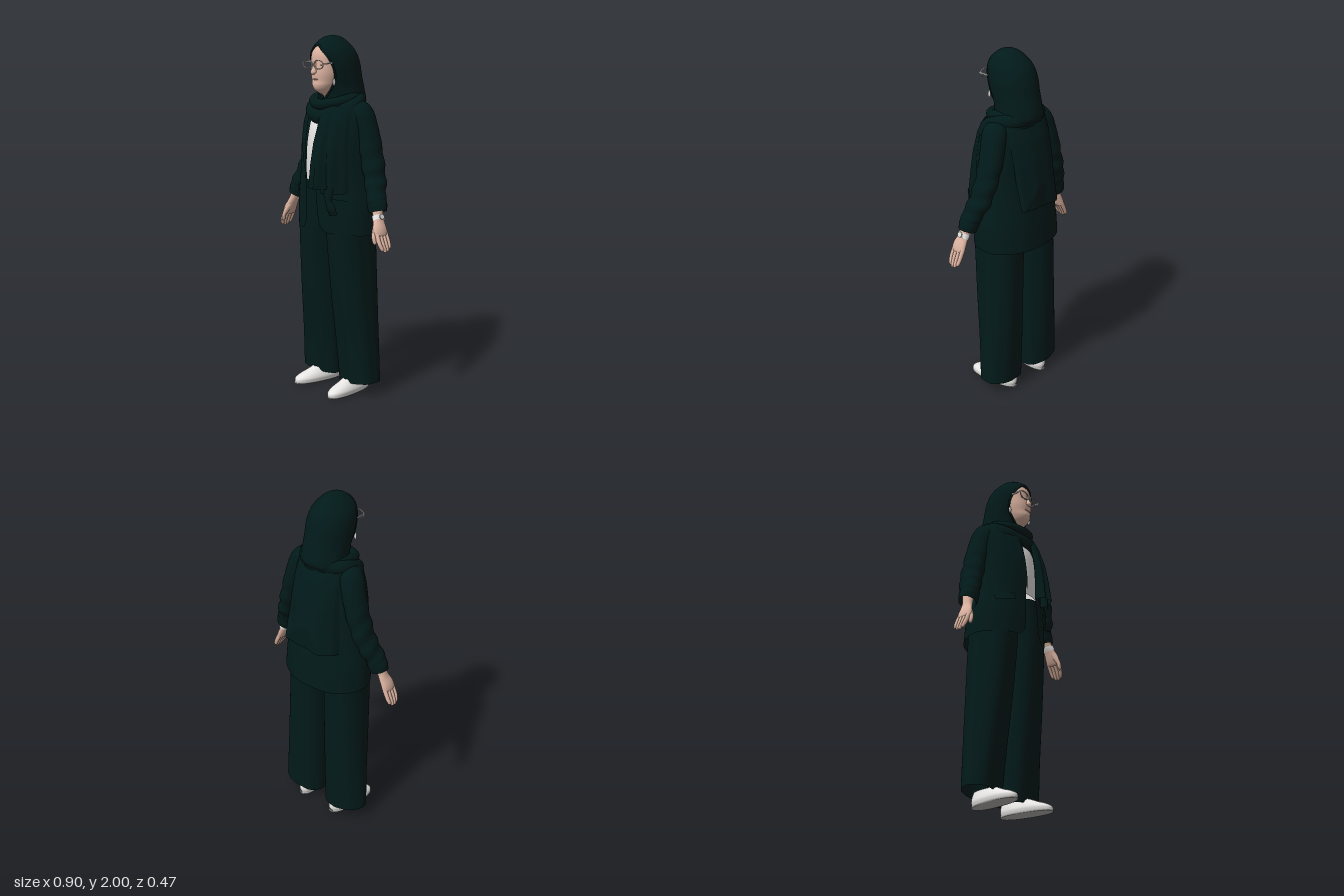
import * as THREE from 'three';

const mat = (name, color, double) => {
  const m = new THREE.MeshStandardMaterial({ color });
  m.name = name;
  if (double) m.side = THREE.DoubleSide;
  return m;
};

// Smooth surface from a rule (u, v) -> [x, y, z]; either direction can close on itself
function patch(nu, nv, f, wrapU = false, wrapV = false) {
  const cu = wrapU ? nu : nu + 1, cv = wrapV ? nv : nv + 1, pos = [], idx = [];
  for (let j = 0; j < cv; j++) for (let i = 0; i < cu; i++) pos.push(...f(i / nu, j / nv));
  for (let j = 0; j < nv; j++) for (let i = 0; i < nu; i++) {
    const i2 = (i + 1) % cu, j2 = (j + 1) % cv;
    const a = j * cu + i, b = j * cu + i2, c = j2 * cu + i2, d = j2 * cu + i;
    idx.push(a, b, c, a, c, d);
  }
  const g = new THREE.BufferGeometry();
  g.setAttribute('position', new THREE.Float32BufferAttribute(pos, 3));
  g.setIndex(idx);
  g.computeVertexNormals();
  return g;
}

// Catmull-Rom sample of a table of rows
function sample(rows, v) {
  const n = rows.length - 1, s = Math.min(v * n, n - 1e-9), i = Math.floor(s), t = s - i;
  const at = k => rows[Math.max(0, Math.min(n, k))];
  return rows[0].map((_, c) => {
    const [a, b, d, e] = [at(i - 1)[c], at(i)[c], at(i + 1)[c], at(i + 2)[c]];
    return b + 0.5 * t * (d - a + t * (2 * a - 5 * b + 4 * d - e + t * (3 * (b - d) + e - a)));
  });
}

// Upright body from rows [y, halfWidth, zFront, zBack, xCentre]; n and nBack set the squareness of
// the front and back halves; open(y) gives the front gap [right, left]
function body(rows, { n = 2, nBack = n, nu = 56, nv = 48, open, ripple = () => 0, hem = () => 0 } = {}) {
  return patch(nu, nv, (u, v) => {
    let [y, rx, zf, zb, cx = 0] = sample(rows, v);
    rx = Math.max(rx, 0.0005);
    const gap = open ? open(y) : [0, 0];
    const ang = x => Math.asin(Math.min(0.98, Math.pow(Math.max(0, x) / rx, n / 2)));
    const a0 = ang(gap[1]), a = a0 + u * (2 * Math.PI - ang(gap[0]) - a0);
    const s = Math.sin(a), c = Math.cos(a), k = 1 + ripple(a, v), e = 2 / (c > 0 ? n : nBack);
    const px = Math.sign(s) * Math.abs(s) ** e, pz = Math.sign(c) * Math.abs(c) ** e;
    return [cx + rx * px * k, y + hem(a, v), (zf + zb) / 2 + (zf - zb) / 2 * pz * k];
  }, !open);
}

// Depth of a body's front (side 1) or back (side -1) at x, y
function depth(rows, n, x, y, side) {
  let i = 0;
  while (i < rows.length - 2 && rows[i + 1][0] < y) i++;
  const t = (y - rows[i][0]) / (rows[i + 1][0] - rows[i][0]);
  const [, rx, zf, zb] = rows[i].map((q, c) => q + t * (rows[i + 1][c] - q));
  const k = Math.max(0, 1 - Math.abs(x / rx) ** n) ** (1 / n);
  return (zf + zb) / 2 + side * (zf - zb) / 2 * k;
}

// Limb along points listed from low to high, radii [sideways, front-back]
function limb(points, radii, nu = 16, nv = 20, wrinkle = () => 0) {
  const curve = new THREE.CatmullRomCurve3(points.map(p => new THREE.Vector3(...p)));
  const Z = new THREE.Vector3(0, 0, 1);
  return patch(nu, nv, (u, v) => {
    const a = u * 2 * Math.PI, T = curve.getTangent(v), k = 1 + wrinkle(a, v);
    const A = T.clone().cross(Z).normalize(), B = A.clone().cross(T);
    const [ra, rb] = sample(radii, v);
    return curve.getPoint(v).addScaledVector(A, Math.sin(a) * ra * k)
      .addScaledVector(B, Math.cos(a) * rb * k).toArray();
  }, true);
}

const mix = (a, b, t) => a + (b - a) * t;

export function createModel() {
  const model = new THREE.Group();
  const cloth = mat('dark green cloth', 0x021a1a, true);
  const skin = mat('skin', 0xdcb3a1);
  const white = mat('white', 0xe8e6e4, true);
  const lip = mat('lips', 0xcb9a8c);
  const metal = mat('pale silver', 0xdedcda);
  const dark = mat('eye brown', 0x86685e);
  const sole = mat('sole grey', 0xb9b8b6);
  const add = (name, geo, m, parent = model) => {
    const mesh = new THREE.Mesh(geo, m);
    mesh.name = name;
    parent.add(mesh);
    return mesh;
  };
  const ball = (name, m, p, s) => {
    const b = add(name, new THREE.SphereGeometry(1, 20, 14), m);
    b.position.set(...p);
    b.scale.set(...s);
  };

  // Head and neck
  const head = [[1.56, .055, .04, -.06], [1.66, .055, .055, -.06], [1.69, .045, .1, -.06], [1.71, .056, .13, -.06],
    [1.735, .068, .141, -.06], [1.76, .077, .139, -.06], [1.80, .086, .141, -.06], [1.85, .09, .137, -.06],
    [1.9, .089, .134, -.06], [1.94, .07, .109, -.04], [1.965, 0, .03, .02]];
  const faceZ = (x, y) => depth(head, 2.1, x, y, 1);
  add('head', body(head, { n: 2.1 }), skin);
  add('nose', limb([[0, 1.797, .138], [0, 1.804, .145], [0, 1.825, .141], [0, 1.875, .128]],
    [[0, 0], [.018, .017], [.012, .013], [.007, .007]]), skin);
  ball('mouth', lip, [0, 1.768, faceZ(0, 1.768) - .002], [.026, .004, .004]);

  // Headscarf hood, open around the face
  const hood = [[1.57, .175, .1, -.14], [1.62, .155, .09, -.155], [1.66, .132, .075, -.182], [1.72, .124, .085, -.174],
    [1.78, .124, .11, -.16], [1.85, .124, .13, -.146], [1.91, .111, .137, -.122], [1.955, .081, .113, -.083],
    [1.988, .042, .068, -.04], [2, 0, .013, .011]];
  const gapRows = [[1.66, 0], [1.70, .045], [1.76, .083], [1.82, .091], [1.88, .076], [1.925, .04], [1.95, 0]];
  const faceGap = y => {
    const i = gapRows.findIndex(r => r[0] > y);
    if (i < 1) return 0;
    const [p, q] = [gapRows[i - 1], gapRows[i]];
    return mix(p[1], q[1], (y - p[0]) / (q[0] - p[0]));
  };
  add('headscarfHood', body(hood, { nu: 64, nv: 72, open: y => [faceGap(y), faceGap(y)],
    ripple: (a, v) => v < .45 ? .05 * (.45 - v) * Math.sin(9 * a) : 0 }), cloth);
  const rim = [1, -1].flatMap(s => (s > 0 ? gapRows : gapRows.slice(1, -1).reverse())
    .map(([y, x]) => new THREE.Vector3(s * x, y, depth(hood, 2, x, y, 1))));
  add('hoodRim', new THREE.TubeGeometry(new THREE.CatmullRomCurve3(rim, true), 72, .006, 8, true), cloth);

  // Scarf folds wound round the neck
  [[.15, .118, 1.65, .085, .034, .042], [.118, .118, 1.672, .04, .03, .03], [.165, .115, 1.62, .06, .028, .03]]
    .forEach(([rx, rz, y0, drop, r, h]) => add('neckFold', patch(56, 14, (u, v) => {
      const t = u * 2 * Math.PI, b = v * 2 * Math.PI;
      const k = r * (1 + .1 * Math.sin(5 * t)) * Math.cos(b), s = Math.sin(t), c = Math.cos(t);
      return [(rx + k) * s, y0 - drop * ((1 + c) / 2) ** 2 + h * Math.sin(b), -.012 + (rz + k) * c];
    }, true, true), cloth));

  // Jacket body, open down the front
  const coat = [[.94, .27, .162, -.218], [1.07, .263, .165, -.207], [1.2, .24, .163, -.19], [1.32, .228, .163, -.18],
    [1.43, .224, .155, -.172], [1.55, .216, .128, -.152], [1.62, .196, .1, -.13], [1.66, .15, .07, -.105], [1.69, .08, .03, -.07]];
  const coatZ = (x, y, side = 1) => depth(coat, side > 0 ? 1.9 : 2.15, x, y, side);
  const coatGap = y => {
    const w = Math.max(0, 1.2 - y), round = .04 * Math.max(0, (1 - y) / .06) ** 2;
    return [.048 + w * .03 + round, .03 + w * .12 + round];
  };
  add('jacketBody', body(coat, { n: 1.9, nBack: 2.15, nu: 72, open: coatGap,
    hem: (a, v) => -.012 * (1 - Math.cos(a)) * Math.max(0, 1 - v * 3),
    ripple: (a, v) => .008 * Math.sin(7 * a + 5 * v) * (1 - v) }), cloth);
  // Lapels and pocket flaps
  for (const s of [1, -1]) {
    const inner = s > 0 ? .03 : .047;
    add('lapel', patch(6, 16, (u, v) => {
      const y = mix(1.23, 1.6, v), wide = v < .75 ? .1 * v / .75 : .1 - .2 * (v - .75);
      const x = s * (inner + .03 * v * v + wide * u);
      return [x, y, coatZ(x, y) + .009 - .004 * u];
    }), cloth);
    add('pocketFlap', patch(6, 4, (u, v) => {
      const x = s * mix(.13, .222, u), y = mix(1.135, 1.18, v) - .012 * u;
      return [x, y, coatZ(x, y) + .014 - .006 * v];
    }), cloth);
  }
  // Shirt
  add('shirt', body([[1.212, .17, .143, -.12], [1.35, .17, .145, -.13], [1.5, .16, .126, -.12], [1.62, .1, .07, -.07]]), white);

  // Long scarf ends: broad one down the back, two layers over the left chest
  add('scarfBackPanel', patch(36, 28, (u, v) => {
    const x = mix(mix(-.15, -.18, v), .147, u), y = mix(1.645, 1.165 + .012 * u, v);
    const edge = Math.min(1, Math.sin(Math.PI * u) ** .35 + .9 * v * u ** 8);
    return [x, y, Math.max(-.234, coatZ(x, y, -1) - .003 - (.016 + .045 * v) * edge) + .003 * Math.sin(u * 16) * v];
  }), cloth);
  [[.035, .13, .025, .145, 1.19, .052, .012], [.07, .185, .09, .21, 1.165, .035, .012]]
    .forEach(([a0, b0, a1, b1, low, out, fold]) => add('scarfFrontPanel', patch(30, 24, (u, v) => {
      const x = mix(mix(a0, a1, v), mix(b0, b1, v), u), y = mix(1.63, low, v);
      const edge = Math.sin(Math.PI * u) ** .4;
      return [x, y, coatZ(x, y) + .004 + (.016 + out * v) * edge + fold * v * Math.sin(u * 13) * edge];
    }), cloth));
  add('scarfKnot', limb([[.165, 1.05, .145], [.16, 1.09, .16], [.15, 1.12, .165], [.14, 1.19, .165]],
    [[.028, .012], [.03, .016], [.02, .014], [.04, .018]], 14, 14, a => .15 * Math.sin(4 * a)), cloth);

  for (const s of [1, -1]) {
    const m = pts => pts.map(([x, y, z]) => [s * x, y, z]);
    // Sleeve with gathered folds, and turned cuff
    add('sleeve', limb(m([[.348, 1.085, -.012], [.33, 1.14, -.016], [.287, 1.24, -.045], [.242, 1.37, -.058], [.203, 1.5, -.055],
      [.17, 1.59, -.042], [.12, 1.635, -.035]]),
    [[.05, .046], [.052, .054], [.053, .064], [.056, .068], [.06, .07], [.06, .07], [.04, .05]], 28, 64,
    (a, v) => v < .65 ? .07 * Math.sin(48 * v + 1.5 * Math.sin(a + s)) * Math.sin(Math.PI * v / .65) : 0), cloth);
    add('cuff', limb(m([[.352, 1.076, -.01], [.341, 1.108, -.013], [.33, 1.135, -.016]]),
      [[.052, .046], [.058, .052], [.054, .052]], 24, 6), cloth);
    // Forearm, palm and fingers
    add('hand', limb(m([[.408, .945, .012], [.404, .958, .012], [.392, .99, .011], [.374, 1.03, .004], [.362, 1.06, 0], [.342, 1.12, -.012]]),
      [[0, 0], [.016, .04], [.022, .044], [.022, .035], [.025, .029], [.03, .033]], 20, 24), skin);
    for (let k = 0; k < 4; k++) {
      const z = .011 + (k - 1.5) * .021, d = [.014, .002, 0, .008][k];
      add('finger', limb(m([[.444 - d * .4, .872 + d, z * .8], [.442 - d * .4, .88 + d, z * .8], [.426, .918, z], [.4, .97, z]]),
        [[0, 0], [.009, .009], [.012, .011], [.014, .012]], 10, 12), skin);
    }
    add('thumb', limb(m([[.402, .912, .054], [.401, .922, .056], [.393, .955, .056], [.376, 1.01, .026]]),
      [[0, 0], [.01, .009], [.012, .012], [.015, .018]], 10, 12), skin);

    // Wide trouser leg; the right one turns slightly outward
    const leg = [[.065, .13, .03, -.152, .022], [.3, .125, .055, -.158, .012], [.6, .122, .09, -.16, .001],
      [.9, .119, .117, -.16, -.009], [1.02, .118, .122, -.158, -.013], [1.215, .1, .125, -.13, -.035]];
    const trouser = add('trouserLeg', body(leg.map(r => [...r.slice(0, 4), s * r[4]]), { n: 2.4, nBack: s > 0 ? 2.3 : 2, nu: 64,
      ripple: (a, v) => .014 * Math.sin(7 * a) * (1 - v), hem: (a, v) => .012 * s * Math.sin(a) * (1 - v) }), cloth);
    trouser.position.x = s * .13;
    if (s < 0) trouser.rotation.y = .13;

    // Shoe with sole
    const shoe = new THREE.Group();
    shoe.name = 'shoe';
    const shape = { n: 2.3, nu: 36, nv: 20 };
    add('shoeUpper', body([[.012, .054, .167, -.142], [.03, .057, .164, -.148], [.048, .052, .135, -.148],
      [.066, .044, .085, -.144], [.085, .036, .04, -.135]], shape), white, shoe);
    add('shoeSole', body([[.001, 0, .01, .009], [.001, .046, .155, -.135], [.007, .055, .168, -.146],
      [.015, .055, .167, -.146]], shape), sole, shoe);
    shoe.position.x = s * .134;
    shoe.rotation.y = s * .12;
    model.add(shoe);

    // Eyes and earrings
    ball('eye', dark, [s * .04, 1.846, faceZ(.04, 1.846) - .001], [.01, .003, .003]);
    ball('earring', white, [s * .09, 1.755, .078], [.007, .02, .007]);
    // Spectacle rim and temple
    const lens = add('spectacleRim', new THREE.TorusGeometry(.038, .0035, 8, 28), metal);
    lens.scale.y = .62;
    lens.position.set(s * .047, 1.848, .15);
    const temple = add('spectacleTemple', new THREE.BoxGeometry(.005, .007, .075), metal);
    temple.position.set(s * .088, 1.855, .115);
  }
  const bridge = add('spectacleBridge', new THREE.BoxGeometry(.022, .005, .005), metal);
  bridge.position.set(0, 1.853, .15);

  // Wristwatch on the left arm
  add('watchBand', limb([[.373, 1.037, .003], [.366, 1.052, .001], [.362, 1.062, 0]],
    [[.028, .037], [.03, .035], [.03, .033]], 24, 4), white);
  const dial = add('watchFace', new THREE.CylinderGeometry(.015, .015, .006, 20), metal);
  dial.position.set(.396, 1.06, .002);
  dial.rotation.z = -1.2;
  return model;
}
